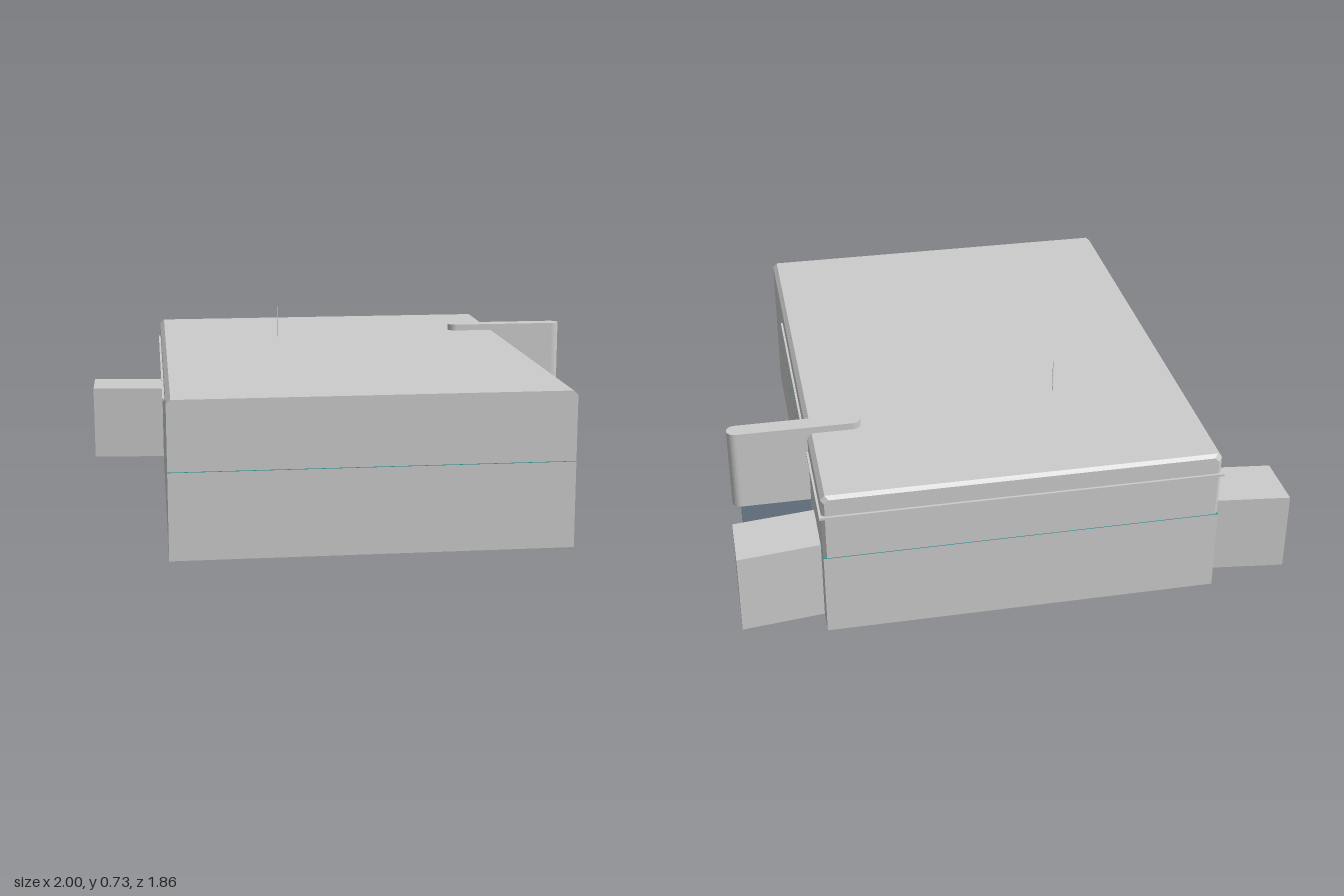
import * as THREE from 'three';

const grey = new THREE.MeshStandardMaterial({ color: 0xcccccc, flatShading: true });
const blue = new THREE.MeshStandardMaterial({ color: 0x708090, flatShading: true });
const teal = new THREE.MeshStandardMaterial({ color: 0x2a9d9d, flatShading: true });

function add(parent, name, geometry, material = grey) {
  const mesh = new THREE.Mesh(geometry, material);
  mesh.name = name;
  parent.add(mesh);
  return mesh;
}

// Box given by its lower and upper corners
function span(x0, y0, z0, x1, y1, z1) {
  return new THREE.BoxGeometry(x1 - x0, y1 - y0, z1 - z0)
    .translate((x0 + x1) / 2, (y0 + y1) / 2, (z0 + z1) / 2);
}

// Lid: chamfered along both sides and the back, square at the front
function lidGeometry() {
  const w = 0.706, y0 = 0.36, y1 = 0.61, c = 0.016;
  const shape = new THREE.Shape([
    [-w, y0], [w, y0], [w, y1 - c], [w - c, y1], [-w + c, y1], [-w, y1 - c],
  ].map(([x, y]) => new THREE.Vector2(x, y)));
  const geo = new THREE.ExtrudeGeometry(shape, { depth: 1, steps: 2, bevelEnabled: false });
  const p = geo.attributes.position;
  for (let i = 0; i < p.count; i++) {
    const t = p.getZ(i);
    if (t < 0.25) {
      p.setX(i, p.getX(i) * (w - 0.012) / w);
      if (p.getY(i) > y0 + 0.01) p.setY(i, p.getY(i) - 0.012);
    }
    p.setZ(i, t < 0.25 ? -0.92 : t < 0.75 ? -0.908 : 0.925);
  }
  geo.computeVertexNormals();
  return geo;
}

// Upright plate with rounded ends, seen from above as a long slot
function slotPlate(x0, x1, z, r, y0, y1) {
  const shape = new THREE.Shape();
  shape.absarc(x1 - r, -z, r, -Math.PI / 2, Math.PI / 2);
  shape.absarc(x0 + r, -z, r, Math.PI / 2, Math.PI * 1.5);
  return new THREE.ExtrudeGeometry(shape, { depth: y1 - y0, bevelEnabled: false, curveSegments: 6 })
    .rotateX(-Math.PI / 2).translate(0, y0, 0);
}

// Side block swept slightly backwards as it leaves the body
function sideBlock(side) {
  const geo = span(0.6, 0.055, -0.83, 1, 0.355, -0.61);
  if (side < 0) geo.translate(-1.6, 0, 0);
  const p = geo.attributes.position;
  for (let i = 0; i < p.count; i++) {
    p.setZ(i, p.getZ(i) - (Math.abs(p.getX(i)) - 0.71) * 0.12);
  }
  geo.computeVertexNormals();
  return geo;
}

export function createModel() {
  const model = new THREE.Group();
  model.name = 'boxWithSidePlate';

  // Main body
  add(model, 'lowerBody', span(-0.706, 0.05, -0.92, 0.706, 0.36, 0.925));
  add(model, 'lid', lidGeometry());
  add(model, 'seam', span(-0.7065, 0.359, -0.9205, 0.7065, 0.361, 0.9255), teal);

  // Thin rail around the back and part of each side
  const rail = new THREE.Group();
  rail.name = 'rail';
  model.add(rail);
  for (const s of [-1, 1]) {
    add(rail, s > 0 ? 'leftRail' : 'rightRail',
      new THREE.BoxGeometry(0.02, 0.008, 1.44)).position.set(s * 0.704, 0.53, -0.21);
  }
  add(rail, 'backRail', span(-0.714, 0.526, -0.929, 0.714, 0.534, -0.9));

  // Side blocks
  add(model, 'leftBlock', sideBlock(1));
  add(model, 'rightBlock', sideBlock(-1));

  // Upright plate assembly on the left side
  const bracket = new THREE.Group();
  bracket.name = 'sidePlate';
  model.add(bracket);
  add(bracket, 'upperPlate', slotPlate(0.51, 0.99, -0.47, 0.032, 0.33, 0.635));
  add(bracket, 'lowerPlate', slotPlate(0.51, 0.99, -0.47, 0.032, 0.02, 0.115));
  add(bracket, 'bluePanel', span(0.54, 0.11, -0.473, 0.96, 0.335, -0.463), blue);

  // Small pins on the top and underside
  add(model, 'topPin', new THREE.CylinderGeometry(0.0015, 0.0015, 0.13, 6)).position.set(-0.225, 0.67, -0.37);
  add(model, 'bottomPin', new THREE.CylinderGeometry(0.004, 0.002, 0.05, 6)).position.set(-0.35, 0.026, -0.83);

  // Fine nested ridges on the underside
  const ridge = [[0.41, 0.12], [0.29, 0.2], [-0.31, 0.25], [-0.4, 0.19], [-0.34, -0.4]];
  for (let k = 0; k < 3; k++) {
    const path = new THREE.CurvePath();
    const pts = ridge.map(([x, z]) => new THREE.Vector3(x * (1 - 0.05 * k), 0.05, z - 0.025 * k));
    for (let i = 1; i < pts.length; i++) path.add(new THREE.LineCurve3(pts[i - 1], pts[i]));
    add(model, 'undersideRidge', new THREE.TubeGeometry(path, 40, 0.002, 4));
  }
  return model;
}
